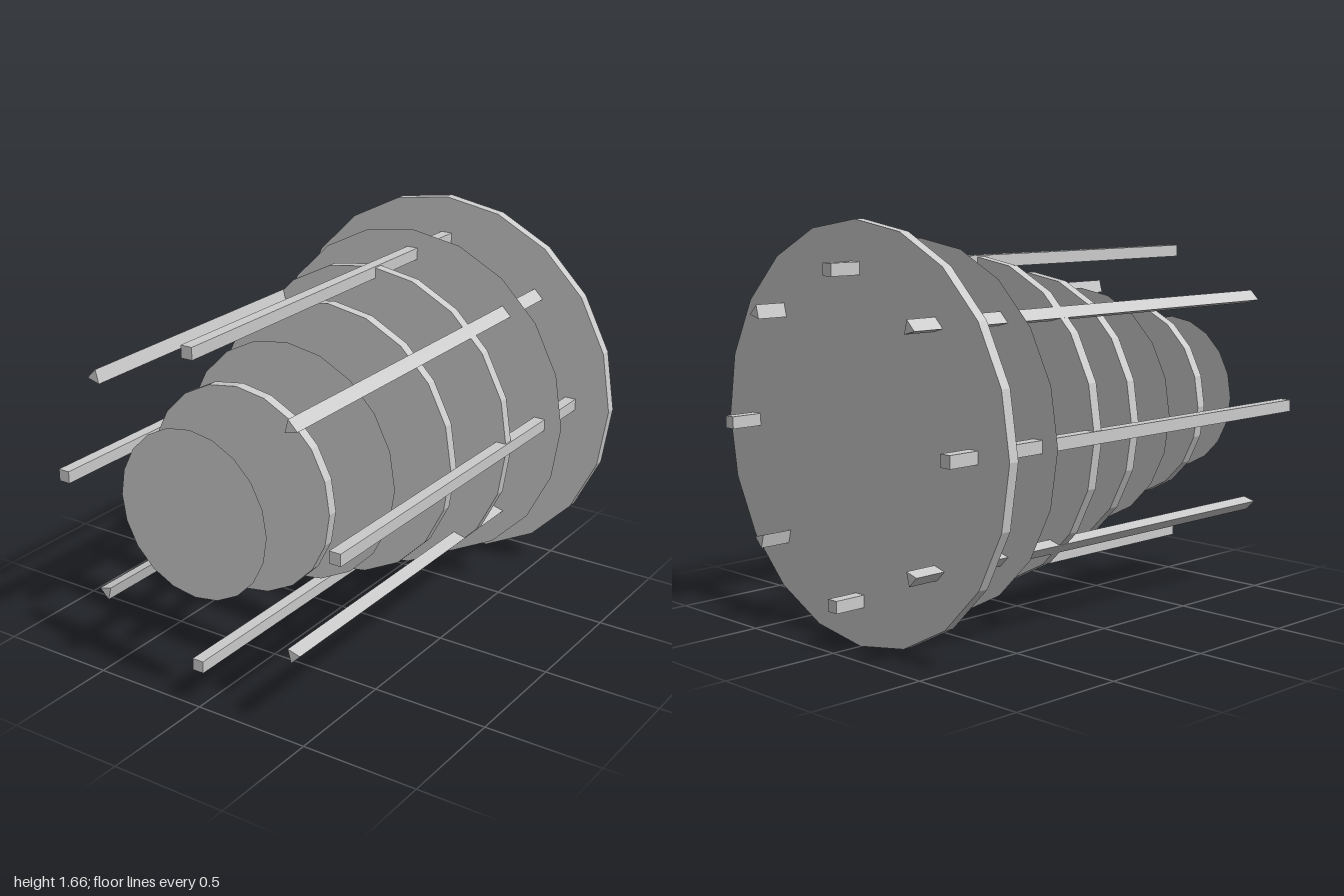
import * as THREE from 'three';

export function createModel() {
  const group = new THREE.Group();
  const centreY = 0.83;
  const solid = new THREE.MeshStandardMaterial({ color: 0xcccccc, flatShading: true });
  const thin = new THREE.MeshStandardMaterial({ color: 0xcccccc, flatShading: true, side: THREE.DoubleSide });

  const add = (name, geometry, material, x, y, z) => {
    const mesh = new THREE.Mesh(geometry, material);
    mesh.name = name;
    mesh.position.set(x, y, z);
    group.add(mesh);
  };

  // Seven evenly spaced discs growing toward the back; some are thin sheets
  const sides = 20;
  const thickDiscs = [1, 3, 4, 6];
  for (let i = 0; i < 7; i++) {
    const radius = 0.345 + i * 0.0808;
    const z = 1 - i * 0.307;
    if (thickDiscs.includes(i)) {
      const disc = new THREE.CylinderGeometry(radius, radius, 0.043, sides).rotateX(Math.PI / 2);
      add('thickDisc' + i, disc, solid, 0, centreY, z);
    } else {
      add('thinDisc' + i, new THREE.CircleGeometry(radius, sides), thin, 0, centreY, z);
    }
  }

  // Ring of eight long rods: square on the axes, triangular on the diagonals
  const ringRadius = 0.645;
  for (let i = 0; i < 8; i++) {
    const angle = (i * Math.PI) / 4;
    const x = ringRadius * Math.cos(angle);
    const y = centreY + ringRadius * Math.sin(angle);
    if (i % 2 === 0) {
      add('squareRod' + i, new THREE.BoxGeometry(0.05, 0.05, 2), solid, x, y, 0);
    } else {
      // One edge of the prism points at the central axis
      const prism = new THREE.CylinderGeometry(0.0333, 0.0333, 2, 3)
        .rotateX(Math.PI / 2)
        .rotateZ(angle + Math.PI * 1.5);
      add('triangularRod' + i, prism, solid, x, y, 0);
    }
  }
  return group;
}
